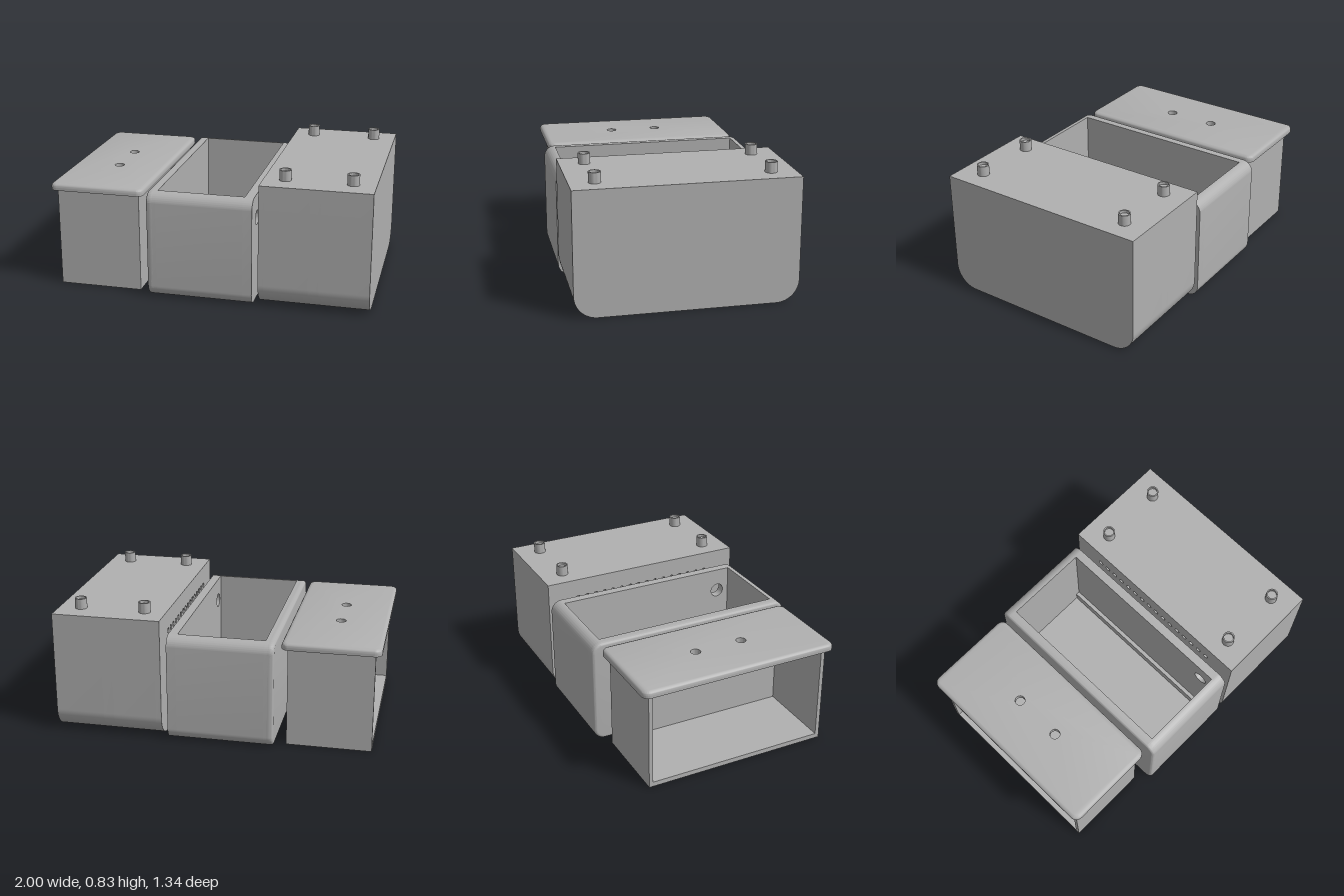
import * as THREE from 'three';
import { toCreasedNormals } from 'three/addons/utils/BufferGeometryUtils.js';

export function createModel() {
  const model = new THREE.Group();
  const grey = new THREE.MeshStandardMaterial({ color: 0xb0b0b0 });
  grey.name = 'plain grey';

  const add = (parent, name, geometry) => {
    const mesh = new THREE.Mesh(toCreasedNormals(geometry, 0.6), grey);
    mesh.name = name;
    parent.add(mesh);
    return mesh;
  };
  const group = (name) => {
    const g = new THREE.Group();
    g.name = name;
    model.add(g);
    return g;
  };
  const hole = (x, y, r) => new THREE.Path().absarc(x, y, r, 0, Math.PI * 2, true);

  // Extrude a side profile (drawn in z and y) from x0 to x1
  const slab = (shape, x0, x1, bevel = 0) => {
    const g = new THREE.ExtrudeGeometry(shape, {
      depth: x1 - x0 - 2 * bevel, curveSegments: 16, bevelEnabled: bevel > 0,
      bevelSize: bevel, bevelThickness: bevel, bevelOffset: -bevel, bevelSegments: 4,
    });
    return g.translate(0, 0, x0 + bevel).rotateY(Math.PI / 2);
  };

  // Rounded rectangle with separate bottom and top corner radii
  const profile = (hw, y0, y1, rb, rt) => {
    const s = new THREE.Shape();
    s.moveTo(-hw + rb, y0);
    s.lineTo(hw - rb, y0);
    if (rb) s.absarc(hw - rb, y0 + rb, rb, -Math.PI / 2, 0, false);
    s.lineTo(hw, y1 - rt);
    if (rt) s.absarc(hw - rt, y1 - rt, rt, 0, Math.PI / 2, false);
    s.lineTo(-hw + rt, y1);
    if (rt) s.absarc(-hw + rt, y1 - rt, rt, Math.PI / 2, Math.PI, false);
    s.lineTo(-hw, y0 + rb);
    if (rb) s.absarc(-hw + rb, y0 + rb, rb, Math.PI, Math.PI * 1.5, false);
    return s;
  };

  // Drawer: a tray open on its outer side, hanging from a lid
  const drawer = group('drawer');
  const tray = new THREE.Shape([
    [-0.59, 0], [0.59, 0], [0.59, 0.632], [0.565, 0.632],
    [0.565, 0.03], [-0.565, 0.03], [-0.565, 0.632], [-0.59, 0.632],
  ].map(([x, y]) => new THREE.Vector2(x, y)));
  add(drawer, 'drawerWalls', slab(tray, -0.963, -0.465));
  add(drawer, 'drawerBack', slab(profile(0.59, 0, 0.632, 0, 0), -0.465, -0.44));

  // Lid with two holes; its top edge is rounded by pulling vertices inward
  const hx = 0.298, hz = 0.634, corner = 0.045, thick = 0.042, round = 0.022;
  const lidShape = profile(hx, -hz, hz, corner, corner);
  lidShape.holes.push(hole(-0.005, 0.155, 0.031), hole(-0.005, -0.155, 0.031));
  const lid = new THREE.ExtrudeGeometry(lidShape, {
    depth: thick, steps: 8, bevelEnabled: false, curveSegments: 12,
  });
  const p = lid.attributes.position;
  for (let i = 0; i < p.count; i++) {
    const x = p.getX(i), y = p.getY(i);
    const rise = Math.max(0, p.getZ(i) - (thick - round));
    const inset = round - Math.sqrt(Math.max(0, round * round - rise * rise));
    const dx = x - THREE.MathUtils.clamp(x, -hx + corner, hx - corner);
    const dy = y - THREE.MathUtils.clamp(y, -hz + corner, hz - corner);
    const len = Math.hypot(dx, dy);
    if (len > 1e-6) p.setXY(i, x - dx / len * inset, y - dy / len * inset);
  }
  lid.rotateX(-Math.PI / 2).translate(-0.702, 0.63, 0);
  add(drawer, 'drawerLid', lid);

  // Sleeve: rounded box open at the top
  const sleeve = group('sleeve');
  const R = 0.07, H = 0.672, W = 0.672;
  add(sleeve, 'sleeveOuterFace', slab(profile(W, 0, H, R, R), -0.37, -0.315, 0.018));
  add(sleeve, 'sleeveOuterWall', slab(profile(W, 0, H, R, R), -0.352, -0.31));
  const channel = new THREE.Shape();
  channel.moveTo(-W + R, 0);
  channel.absarc(W - R, R, R, -Math.PI / 2, 0, false);
  channel.absarc(W - R, H - R, R, 0, Math.PI / 2, false);
  channel.lineTo(W - R, 0.035);
  channel.lineTo(-W + R, 0.035);
  channel.lineTo(-W + R, H);
  channel.absarc(-W + R, H - R, R, Math.PI / 2, Math.PI, false);
  channel.absarc(-W + R, R, R, Math.PI, Math.PI * 1.5, false);
  add(sleeve, 'sleeveChannel', slab(channel, -0.31, 0.23));
  const innerWall = profile(W, 0, H, R, R);
  innerWall.holes.push(hole(-0.52, 0.52, 0.045));
  add(sleeve, 'sleeveInnerWall', slab(innerWall, 0.23, 0.287));
  const ledge = new THREE.BoxGeometry(0.025, 0.07, 1.2).translate(0.2175, 0.065, 0);
  add(sleeve, 'sleeveLedge', ledge);

  // Housing: tall block with rounded lower edges, a row of holes and a slot below
  const housing = group('housing');
  const block = () => profile(W, 0, 0.77, 0.14, 0);
  const perforated = block();
  for (let i = 0; i < 16; i++) perforated.holes.push(hole(-0.465 + i * 0.062, 0.64, 0.017));
  add(housing, 'housingVentFace', slab(perforated, 0.325, 0.36));
  add(housing, 'housingInnerHalf', slab(block(), 0.36, 0.63));
  const notched = new THREE.Shape();
  notched.moveTo(0.53, 0);
  notched.absarc(W - 0.14, 0.14, 0.14, -Math.PI / 2, 0, false);
  notched.lineTo(W, 0.77);
  notched.lineTo(-W, 0.77);
  notched.absarc(-W + 0.14, 0.14, 0.14, Math.PI, Math.PI * 1.5, false);
  notched.lineTo(-0.53, 0);
  notched.lineTo(-0.53, 0.3);
  notched.lineTo(0.53, 0.3);
  add(housing, 'housingSlot', slab(notched, 0.63, 0.695));
  add(housing, 'housingOuterHalf', slab(block(), 0.695, 1));

  // Four pegs with a shallow recess in the top
  const pegProfile = [[0.037, 0], [0.037, 0.067], [0.029, 0.067], [0.029, 0.05], [0, 0.05]]
    .map(([x, y]) => new THREE.Vector2(x, y));
  for (const x of [0.457, 0.862]) {
    for (const z of [-0.52, 0.52]) {
      add(housing, 'peg', new THREE.LatheGeometry(pegProfile, 32)).position.set(x, 0.768, z);
    }
  }
  return model;
}
